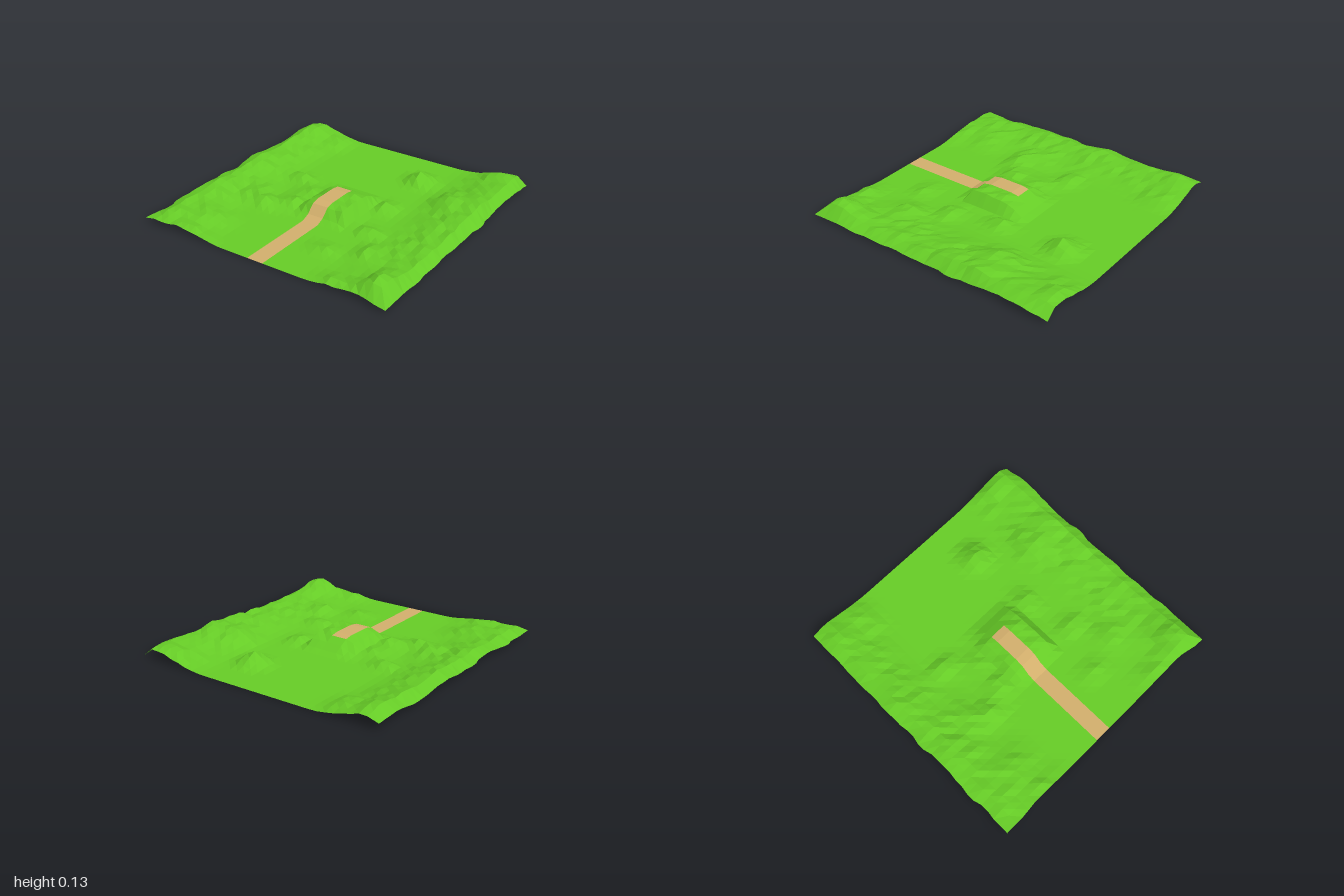
import * as THREE from 'three';

const COLS = 31, ROWS = 32;
const PATH_COLS = [14, 15], PATH_START = 15;

// Hills: centre x, centre z, height, radius x, radius z
const HILLS = [
  [0.29, -0.64, 0.09, 0.1, 0.1], [0.8, -0.93, 0.05, 0.14, 0.08],
  [-0.47, -0.17, 0.05, 0.1, 0.07], [-0.3, 0.0, 0.035, 0.1, 0.12],
  [-0.48, 0.3, 0.05, 0.12, 0.08], [-0.3, 0.2, 0.05, 0.12, 0.1],
  [0.4, 0.25, 0.045, 0.09, 0.07], [0.3, -0.12, 0.04, 0.08, 0.1],
  [0.26, 0.6, 0.03, 0.1, 0.07], [0.66, -0.4, 0.045, 0.12, 0.16],
  [0.55, 0.5, 0.035, 0.09, 0.12], [0.55, 0.9, 0.03, 0.12, 0.08],
  [0.86, 0.86, 0.07, 0.12, 0.16], [-0.62, 0.7, 0.04, 0.14, 0.15],
  [-0.6, 0.95, 0.045, 0.16, 0.1], [-0.62, -0.85, 0.03, 0.1, 0.14],
  [-0.6, 0.2, 0.03, 0.1, 0.15], [-0.88, -0.88, 0.025, 0.12, 0.14],
];

// Ridge heights along the left and right borders, back to front
const LEFT_RIDGE = [0.07, 0.09, 0.085, 0.07, 0.095, 0.08, 0.075, 0.085, 0.06, 0.07, 0.05];
const RIGHT_RIDGE = [0.06, 0.085, 0.08, 0.1, 0.08, 0.07, 0.06, 0.055, 0.05, 0.06, 0.05];
const RIM_LEFT = [0.05, 0.06, 0.03, 0.04, 0.06, 0.03, 0.04, 0.05, 0.03, 0.02, 0.03];
const RIM_RIGHT = [0.015, 0.05, 0.045, 0.02, 0.02, 0.015, 0.02, 0.015, 0.015, 0.02, 0.015];

const clamp = THREE.MathUtils.clamp;
const ramp = THREE.MathUtils.smoothstep;

function sample(list, z) {
  const t = clamp((z + 1) / 1.97, 0, 1) * (list.length - 1);
  const i = Math.min(Math.floor(t), list.length - 2);
  return THREE.MathUtils.lerp(list[i], list[i + 1], t - i);
}

function noise(i, j) {
  const s = Math.sin(i * 127.1 + j * 311.7) * 43758.5453;
  return (s - Math.floor(s)) * 2 - 1;
}

function height(x, z, i, j) {
  if (i === 0) return sample(RIM_LEFT, z);
  if (i === COLS) return sample(RIM_RIGHT, z);
  // Central plateau with steep sides
  const plateau = 0.098 * ramp(x, -0.27, -0.09) * (1 - ramp(x, 0.15, 0.24))
    * ramp(z, -0.27, -0.03) * (1 - ramp(z, 0.2, 0.34));
  // Border slopes
  const left = sample(LEFT_RIDGE, z) * ramp(-x, 0.52, 0.95);
  const right = sample(RIGHT_RIDGE, z) * ramp(x, 0.42, 0.92);
  let hills = 0;
  for (const [hx, hz, h, rx, rz] of HILLS) {
    const d = ((x - hx) / rx) ** 2 + ((z - hz) / rz) ** 2;
    hills += h * Math.max(0, Math.exp(-d) * 1.05 - 0.05);
  }
  // The trail and its flat approach stay level
  const clear = x > -0.12 && x < 0.06 ? 0 : 1;
  const y = Math.max(plateau, hills * clear) + left + right;
  const rough = ramp(y, 0.004, 0.04) * clear * 0.011;
  let out = clamp(y + noise(i, j) * rough, 0, 0.135);
  // Front right corner falls away in a short wall
  if (j === ROWS) out *= 1 - 0.7 * ramp(x, 0.55, 0.9);
  return out;
}

function gridPoint(i, j) {
  let x = -0.09 + 0.0625 * (i - 14);
  let z = -1 + 1.97 * j / ROWS;
  const y = height(x, z, i, j);
  // Slightly irregular outer edges
  if (i === 0) x = -0.99 + 0.01 * noise(3, j >> 1);
  if (i === COLS) x = 0.99 + 0.01 * noise(7, j >> 1);
  if (j === ROWS) z += 0.03 * ramp(x, 0.75, 0.95) + 0.012 * ramp(-x, 0.7, 0.85);
  return [x, y, z];
}

// Faceted sheet made of the grid cells that pass the test
function makeSheet(name, color, test) {
  const pos = [];
  for (let j = 0; j < ROWS; j++) {
    for (let i = 0; i < COLS; i++) {
      if (!test(i, j)) continue;
      const a = gridPoint(i, j), b = gridPoint(i + 1, j);
      const c = gridPoint(i + 1, j + 1), d = gridPoint(i, j + 1);
      pos.push(...a, ...d, ...c, ...a, ...c, ...b);
    }
  }
  const geo = new THREE.BufferGeometry();
  geo.setAttribute('position', new THREE.Float32BufferAttribute(pos, 3));
  geo.computeVertexNormals();
  const mat = new THREE.MeshStandardMaterial({ color, flatShading: true, side: THREE.DoubleSide });
  const mesh = new THREE.Mesh(geo, mat);
  mesh.name = name;
  return mesh;
}

export function createModel() {
  const group = new THREE.Group();
  group.name = 'terrain';
  const isPath = (i, j) => PATH_COLS.includes(i) && j >= PATH_START;
  group.add(makeSheet('grass', 0x66cc26, (i, j) => !isPath(i, j)));
  group.add(makeSheet('path', 0xd2ae6c, isPath));
  return group;
}
